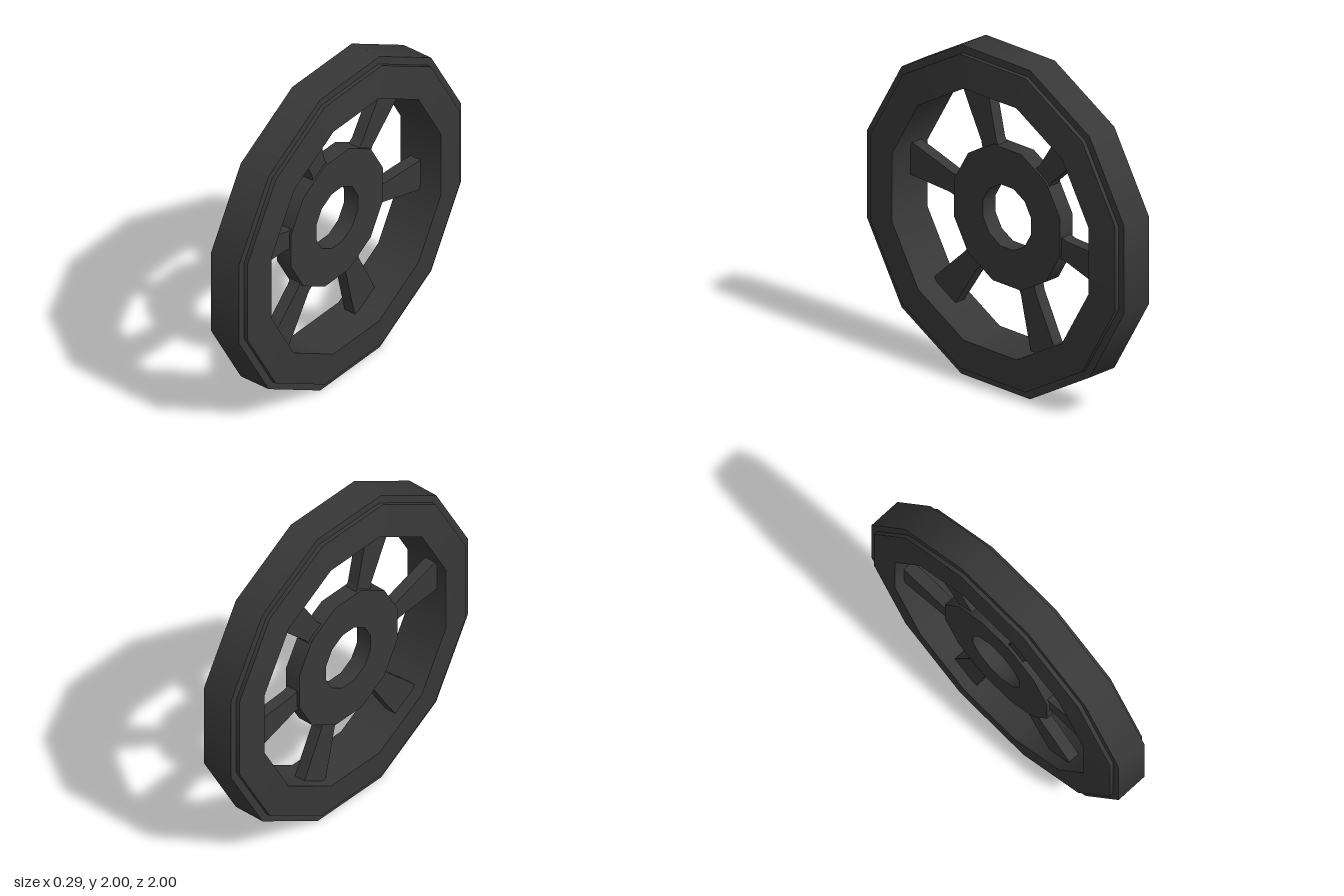
import * as THREE from 'three';
import { mergeGeometries } from 'three/addons/utils/BufferGeometryUtils.js';

const SIDES = 12;
const FLAT = Math.cos(Math.PI / SIDES); // flat-to-corner radius ratio

// Ring about the x axis from a closed [flatRadius, x] profile, sharp between
// profile steps and smooth around the wheel.
function ring(profile) {
  const bands = profile.map((p, i) => {
    const q = profile[(i + 1) % profile.length];
    const pts = [p, q].map(([r, x]) => new THREE.Vector2(r / FLAT, x));
    return new THREE.LatheGeometry(pts, SIDES, Math.PI / SIDES);
  });
  return mergeGeometries(bands).rotateZ(-Math.PI / 2);
}

export function createModel() {
  const group = new THREE.Group();
  const material = new THREE.MeshStandardMaterial({ color: 0x383838 });
  const add = (name, geometry) => {
    const mesh = new THREE.Mesh(geometry, material);
    mesh.name = name;
    mesh.position.y = 1;
    group.add(mesh);
    return mesh;
  };

  // Outer rim: tread band with a stepped, slightly sloping sidewall each side
  add('rim', ring([
    [1, -0.1], [1, 0.1], [0.955, 0.1], [0.955, 0.125], [0.765, 0.145],
    [0.765, -0.145], [0.955, -0.125], [0.955, -0.1],
  ]));

  // Hub, set towards one side, with an open bore
  add('hub', ring([[0.414, -0.093], [0.414, 0.008], [0.187, 0.008], [0.187, -0.093]]));

  // Six flat spokes that widen towards the rim
  const half = [[0.068, 0.37], [0.066, 0.41], [0.061, 0.45], [0.082, 0.62], [0.102, 0.8]];
  const outline = [...half, ...half.map(([w, r]) => [-w, r]).reverse()];
  const shape = new THREE.Shape(outline.map(([w, r]) => new THREE.Vector2(w, r)));
  const spoke = new THREE.ExtrudeGeometry(shape, { depth: 0.072, bevelEnabled: false });
  spoke.translate(0, 0, -0.076).rotateY(Math.PI / 2);
  for (let i = 0; i < 6; i++) {
    add('spoke' + (i + 1), spoke).rotation.x = THREE.MathUtils.degToRad(20 + i * 60);
  }

  return group;
}
